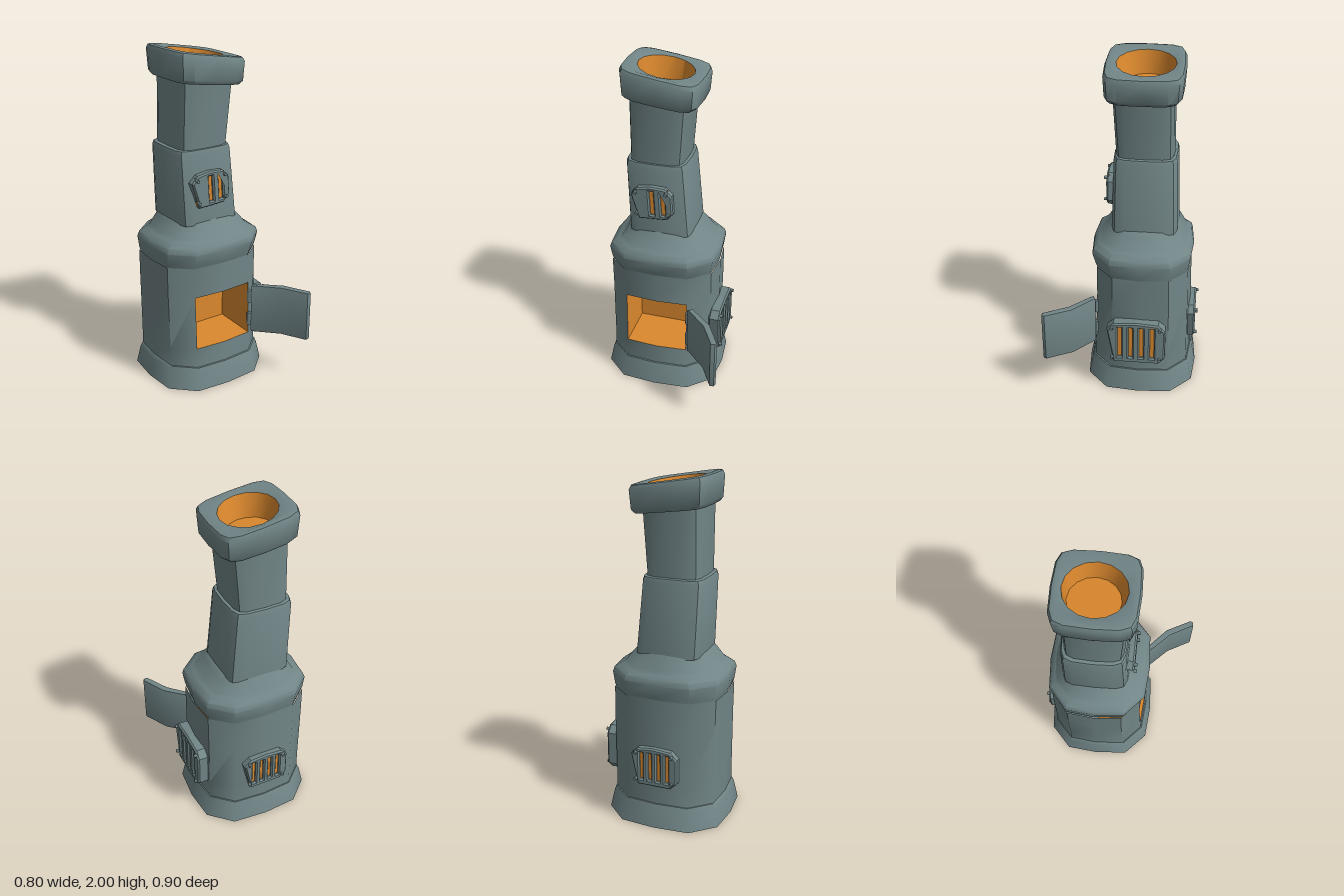
import * as THREE from 'three';
import { toCreasedNormals } from 'three/addons/utils/BufferGeometryUtils.js';

const mat = (name, color, side = THREE.FrontSide) =>
  new THREE.MeshStandardMaterial({ name, color, side });

// One quarter of each cross-section; the rest follows by rotation.
const OCTAGON = [[1, 0], [0.95, 0.58], [0.58, 0.95]];
const SQUIRCLE = [[1, 0], [0.97, 0.62], [0.87, 0.87], [0.62, 0.97]];
const ROUND = [[1, 0], [0.924, 0.383], [0.707, 0.707], [0.383, 0.924]];

// Horizontal loop fitted to x and z limits; tilt lowers the +x side.
function ring(quarter, y, x0, x1, z0, z1, tilt = 0) {
  const pts = [];
  for (let q = 0; q < 4; q++) {
    for (const [a, b] of quarter) {
      const [u, v] = [[a, b], [-b, a], [-a, -b], [b, -a]][q];
      pts.push(new THREE.Vector3(
        (x0 + x1) / 2 + u * (x1 - x0) / 2, y - tilt * u, (z0 + z1) / 2 + v * (z1 - z0) / 2));
    }
  }
  return pts;
}

// Skin over loops; loops listed downwards face inwards.
function skin(loops, { start = false, end = false, skip = () => false, crease = 0.75 } = {}) {
  const pos = [];
  const tri = (...p) => p.forEach(v => pos.push(v.x, v.y, v.z));
  const n = loops[0].length;
  const middle = l => l.reduce((s, p) => s.add(p), new THREE.Vector3()).divideScalar(n);
  for (let j = 0; j < n; j++) {
    const k = (j + 1) % n;
    for (let i = 0; i < loops.length - 1; i++) {
      if (skip(i, j)) continue;
      const A = loops[i], B = loops[i + 1];
      tri(A[j], B[j], A[k]);
      tri(A[k], B[j], B[k]);
    }
    if (start) tri(middle(loops[0]), loops[0][j], loops[0][k]);
    if (end) { const l = loops[loops.length - 1]; tri(middle(l), l[k], l[j]); }
  }
  const g = new THREE.BufferGeometry();
  g.setAttribute('position', new THREE.Float32BufferAttribute(pos, 3));
  g.computeVertexNormals();
  return toCreasedNormals(g, crease);
}

export function createModel() {
  const steel = mat('greySteel', 0x718587);
  const ember = mat('emberOrange', 0xdc892e, THREE.DoubleSide);
  const soot = mat('darkUnderside', 0x38343f);
  const model = new THREE.Group();
  model.name = 'stove';
  const add = (name, geo, material, parent = model) => {
    const m = new THREE.Mesh(geo, material);
    m.name = name;
    parent.add(m);
    return m;
  };
  const rings = (quarter, rows) => rows.map(r => ring(quarter, ...r));

  // Flared base and dark underside
  const baseRings = rings(OCTAGON, [
    [0, -0.4, 0.315, -0.45, 0.22],
    [0.11, -0.377, 0.292, -0.425, 0.197],
    [0.135, -0.366, 0.283, -0.415, 0.187],
    [0.142, -0.35, 0.265, -0.395, 0.17]]);
  add('base', skin(baseRings, { end: true }), steel);
  add('underside', skin([baseRings[0]], { start: true }), soot);

  // Stove body, left open at the front between two rings
  const bodyRings = rings(OCTAGON, [
    [0.135, -0.363, 0.277, -0.41, 0.18],
    [0.26, -0.363, 0.277, -0.408, 0.175],
    [0.59, -0.367, 0.28, -0.405, 0.163],
    [0.775, -0.37, 0.28, -0.4, 0.163]]);
  add('body', skin(bodyRings, { skip: (i, j) => i === 1 && (j === 2 || j === 3) }), steel);

  // Orange firebox running back from the opening
  const [low, high] = [bodyRings[1], bodyRings[2]];
  const mouth = [low[2], low[3], low[4], high[4], high[3], high[2]];
  const back = mouth.map(p => new THREE.Vector3(p.x, p.y, -0.12));
  add('firebox', skin([mouth, back], { end: true, crease: 0.4 }), ember);

  // Bulging collar and sloping shoulder
  add('collar', skin(rings(OCTAGON, [
    [0.765, -0.362, 0.272, -0.395, 0.157],
    [0.795, -0.369, 0.279, -0.402, 0.168],
    [0.865, -0.377, 0.289, -0.413, 0.188],
    [0.895, -0.366, 0.28, -0.403, 0.18],
    [0.918, -0.33, 0.245, -0.375, 0.155]])), steel);
  add('shoulder', skin(rings(OCTAGON, [
    [0.918, -0.33, 0.245, -0.375, 0.155],
    [0.935, -0.305, 0.215, -0.363, 0.135],
    [0.995, -0.27, 0.17, -0.333, 0.09],
    [1.03, -0.24, 0.13, -0.31, 0.065]]), { end: true }), steel);

  // Two leaning chimney sections
  add('lowerPipe', skin(rings(SQUIRCLE, [
    [1.0, -0.252, 0.142, -0.32, 0.073],
    [1.42, -0.268, 0.103, -0.305, 0.063],
    [1.442, -0.26, 0.095, -0.298, 0.056],
    [1.448, -0.235, 0.07, -0.28, 0.04]]), { end: true }), steel);
  add('upperPipe', skin(rings(SQUIRCLE, [
    [1.43, -0.242, 0.078, -0.285, 0.048],
    [1.84, -0.24, 0.112, -0.278, 0.068]])), steel);

  // Tilted chimney cap with round bore
  add('chimneyCap', skin([
    ...rings(SQUIRCLE, [
      [1.803, -0.225, 0.1, -0.27, 0.06, 0.025],
      [1.805, -0.262, 0.145, -0.31, 0.095, 0.025],
      [1.825, -0.278, 0.166, -0.325, 0.11, 0.025],
      [1.94, -0.285, 0.175, -0.333, 0.115, 0.033],
      [1.962, -0.275, 0.165, -0.323, 0.105, 0.034],
      [1.967, -0.255, 0.145, -0.303, 0.085, 0.033]]),
    ring(ROUND, 1.957, -0.215, 0.102, -0.278, 0.052, 0.024)]), steel);
  add('chimneyBore', skin(rings(ROUND, [
    [1.957, -0.215, 0.102, -0.278, 0.052, 0.024],
    [1.83, -0.198, 0.075, -0.26, 0.018, 0.018]]), { end: true, crease: 0.4 }), ember);

  // Slotted vent: frame, orange backing and corner bolts
  function vent(name, w, h, slots, slotH, pitch, depth) {
    const g = new THREE.Group();
    g.name = name;
    const x = w / 2, y = h / 2, c = 0.04;
    const outline = new THREE.Shape([
      [-x + c, -y], [x - c, -y], [x, -y + c], [x, y - c - 0.01], [x - c, y - 0.01],
      [0, y], [-x + c, y - 0.01], [-x, y - c - 0.01]].map(p => new THREE.Vector2(...p)));
    for (let i = 0; i < slots; i++) {
      const cx = (i - (slots - 1) / 2) * pitch, s = pitch * 0.19, t = slotH / 2;
      outline.holes.push(new THREE.Path([
        [cx - s, -t], [cx - s, t], [cx + s, t], [cx + s, -t]].map(p => new THREE.Vector2(...p))));
    }
    add('ventFrame', new THREE.ExtrudeGeometry(outline, {
      depth: depth - 0.01, bevelThickness: 0.01, bevelSize: 0.008, bevelOffset: -0.008, bevelSegments: 1,
    }), steel, g);
    add('ventGlow', new THREE.PlaneGeometry(slots * pitch, slotH + 0.02), ember, g)
      .position.z = depth - 0.018;
    for (const sx of [-1, 1]) for (const sy of [-1, 1]) {
      const bolt = add('bolt', new THREE.CylinderGeometry(0.01, 0.011, 0.02, 6), steel, g);
      bolt.rotation.x = Math.PI / 2;
      bolt.position.set(sx * (x - 0.031), sy * (y - 0.036), depth + 0.004);
    }
    model.add(g);
    return g;
  }
  const frontVent = vent('frontVent', 0.245, 0.205, 3, 0.15, 0.066, 0.05);
  frontVent.position.set(-0.085, 1.218, 0.052);
  frontVent.rotation.z = 0.06;
  const sideVent = vent('sideVent', 0.345, 0.285, 4, 0.21, 0.064, 0.062);
  sideVent.position.set(0.268, 0.367, -0.1);
  sideVent.rotation.y = Math.PI / 2;
  const backVent = vent('backVent', 0.28, 0.235, 4, 0.165, 0.052, 0.05);
  backVent.position.set(-0.04, 0.375, -0.39);
  backVent.rotation.y = Math.PI;

  // Open door, bent in plan to match the body
  const plan = new THREE.Shape([
    [0.155, 0.17], [0.185, 0.155], [0.318, 0.275], [0.398, 0.425],
    [0.39, 0.442], [0.365, 0.445], [0.285, 0.3]].map(p => new THREE.Vector2(...p)));
  const door = new THREE.ExtrudeGeometry(plan, {
    depth: 0.29, bevelThickness: 0.012, bevelSize: 0.008, bevelOffset: -0.008, bevelSegments: 2,
  });
  door.rotateX(Math.PI / 2);
  add('door', toCreasedNormals(door, 0.5), steel).position.y = 0.565;

  // Hinges between door and body
  for (const y of [0.35, 0.5]) {
    add('hinge', new THREE.CylinderGeometry(0.014, 0.014, 0.08, 8), steel)
      .position.set(0.152, y, 0.155);
  }
  return model;
}
